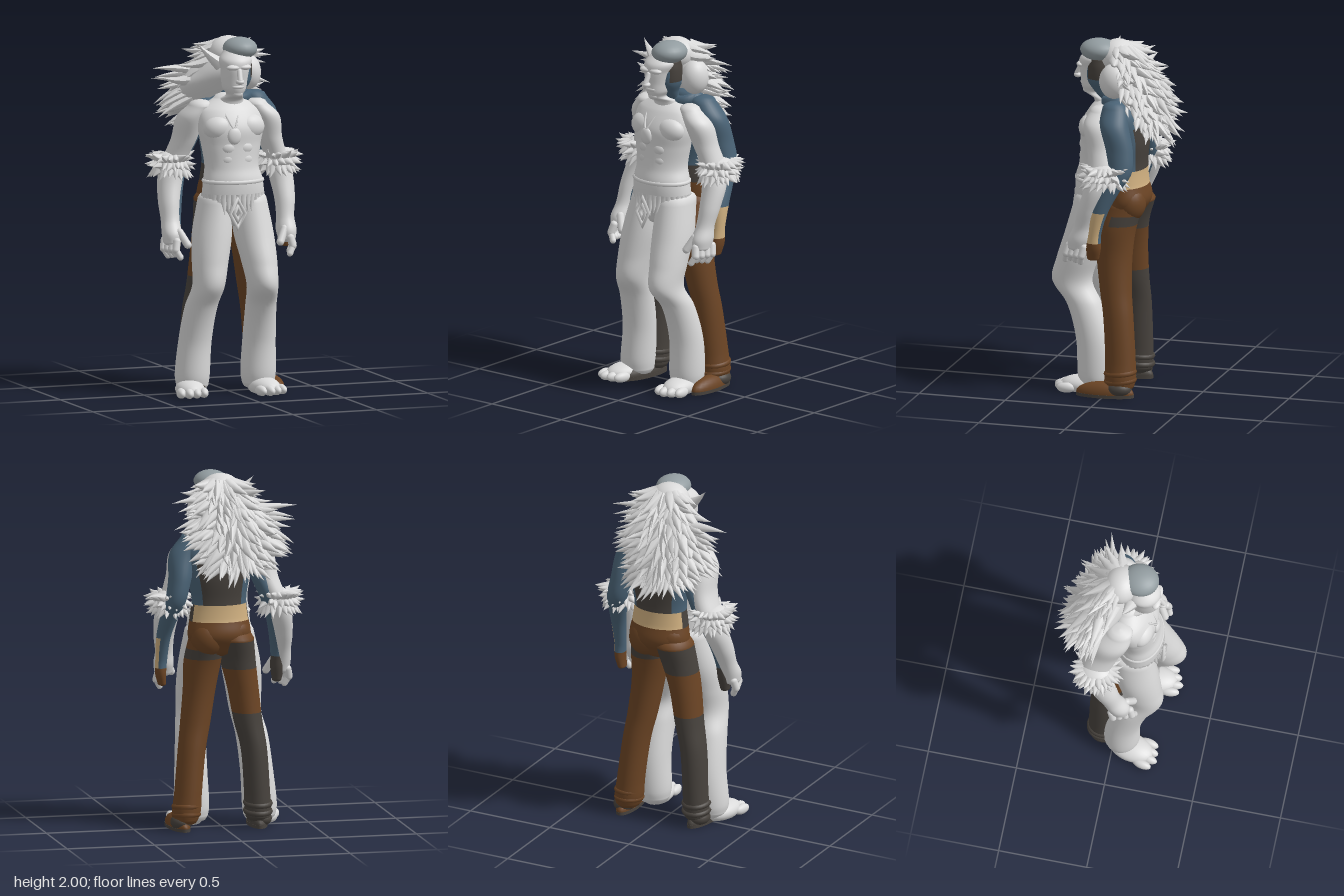
import * as THREE from 'three';
import { mergeGeometries } from 'three/addons/utils/BufferGeometryUtils.js';

const colours = { white: 0xdadada, cap: 0x929ca0, blue: 0x4a6376, brown: 0x6b4424, dark: 0x47423d, tan: 0xd0b080 };
const V = (x, y, z) => new THREE.Vector3(x, y, z);

export function createModel() {
  const model = new THREE.Group();
  const mats = {};
  for (const k in colours) { mats[k] = new THREE.MeshStandardMaterial({ color: colours[k] }); mats[k].name = k; }

  let seed = 7;
  const rnd = () => (seed = (seed * 16807) % 2147483647) / 2147483647;
  const vary = (a) => (rnd() - 0.5) * 2 * a;

  const add = (name, geo, mat) => {
    const m = new THREE.Mesh(geo, mat);
    m.name = name;
    model.add(m);
    return m;
  };

  // Smooth interpolation of sections [x, y, z, rx, rz]
  const sampler = (secs) => {
    const c = new THREE.CatmullRomCurve3(secs.map((s) => V(s[0], s[1], s[2])));
    const r = new THREE.CatmullRomCurve3(secs.map((s) => V(s[3], s[4], s[1])));
    return (t) => { const p = c.getPoint(t), q = r.getPoint(t); return [p.x, p.y, p.z, q.x, q.y]; };
  };

  // Rounded body through horizontal ellipses, top to bottom; pick(y, sin, cos) names the colour
  const loft = (name, secs, pick, n = 28) => {
    const at = sampler(secs), steps = secs.length * 8, rings = [];
    for (let i = 0; i <= steps; i++) rings.push(at(i / steps));
    const cap = (s, d) => [0.5, 0.85, 1].map((f) => {
      const k = Math.max(0.001, Math.sqrt(1 - f * f));
      return [s[0], s[1] + d * f * 0.45 * Math.min(s[3], s[4]), s[2], s[3] * k, s[4] * k];
    });
    const all = [...cap(rings[0], 1).reverse(), ...rings, ...cap(rings[steps], -1)];
    const pos = [], faces = {};
    all.forEach(([x, y, z, rx, rz], i) => {
      for (let j = 0; j < n; j++) {
        const a = (j / n) * Math.PI * 2;
        pos.push(x + rx * Math.cos(a), y, z + rz * Math.sin(a));
        if (i === all.length - 1) continue;
        const b = ((j + 0.5) / n) * Math.PI * 2, k = (j + 1) % n;
        const col = typeof pick === 'string' ? pick : pick((y + all[i + 1][1]) / 2, Math.sin(b), Math.cos(b));
        const A = i * n + j, B = i * n + k;
        (faces[col] ||= []).push(A, B, A + n, B, B + n, A + n);
      }
    });
    const g = new THREE.BufferGeometry();
    g.setAttribute('position', new THREE.Float32BufferAttribute(pos, 3));
    const index = [], list = [];
    for (const c in faces) {
      g.addGroup(index.length, faces[c].length, list.length);
      list.push(mats[c]);
      for (const f of faces[c]) index.push(f);
    }
    g.setIndex(index);
    g.computeVertexNormals();
    return add(name, g, list);
  };

  const ball = (x, y, z, rx, ry, rz) => new THREE.SphereGeometry(1, 24, 16).scale(rx, ry, rz).translate(x, y, z);
  const aim = (g, p, dir) => g.applyQuaternion(new THREE.Quaternion().setFromUnitVectors(V(0, 1, 0), dir.clone().normalize())).translate(p.x, p.y, p.z);
  // Rounded finger between two points
  const finger = (a, b, r) => { const d = b.clone().sub(a); return aim(new THREE.CapsuleGeometry(r, d.length(), 5, 10).translate(0, d.length() / 2, 0), a, d); };
  // Tapered, slightly curved lock of hair
  const lock = (p, dir, len, r, bend = 0) => {
    const g = new THREE.ConeGeometry(r, len, 7, 4, true).translate(0, len / 2, 0), q = g.attributes.position;
    for (let i = 0; i < q.count; i++) q.setX(i, q.getX(i) + bend * (q.getY(i) / len) ** 2);
    g.computeVertexNormals();
    return aim(g, p, dir);
  };

  // ---- Wild figure in front ----
  loft('wildTorso', [[-.02, 1.66, .04, .075, .06], [-.02, 1.6, .06, .17, .095], [-.015, 1.5, .08, .19, .125], [-.015, 1.4, .085, .172, .122],
    [-.015, 1.28, .095, .155, .122], [-.01, 1.2, .105, .172, .13], [-.01, 1.06, .1, .172, .125], [-.01, .98, .1, .09, .09]], 'white', 36);
  add('chest', mergeGeometries([ball(-.1, 1.5, .13, .095, .075, .068), ball(.07, 1.5, .13, .095, .075, .068)]), mats.white);
  const abs = [];
  for (const s of [-1, 1]) for (let i = 0; i < 3; i++) abs.push(ball(-.015 + s * .042, 1.39 - i * .065, .17, .055, .045, .038));
  add('abdomen', mergeGeometries(abs), mats.white);
  const belt = new THREE.TorusGeometry(1, .06, 8, 40).rotateX(Math.PI / 2).scale(.17, .2, .127).translate(-.01, 1.2, .105);
  add('waistRope', belt, mats.white);
  loft('wildLeftLeg', [[.085, 1.1, .09, .1, .125], [.1, .9, .14, .11, .13], [.112, .75, .195, .098, .12], [.12, .62, .225, .084, .115],
    [.14, .5, .15, .085, .1], [.152, .3, .09, .092, .1], [.15, .1, .08, .098, .1], [.15, .05, .08, .09, .09]], 'white');
  loft('wildRightLeg', [[-.11, 1.1, .08, .09, .12], [-.138, .9, .11, .11, .125], [-.16, .75, .14, .1, .115], [-.175, .62, .155, .088, .11],
    [-.197, .5, .1, .09, .1], [-.215, .3, .05, .092, .1], [-.23, .1, .045, .097, .1], [-.23, .05, .045, .09, .09]], 'white');

  // Bare feet with toes
  const foot = (name, x, z, turn) => {
    const parts = [ball(0, .035, .05, .082, .055, .13)];
    for (let i = 0; i < 4; i++) parts.push(ball(-.064 + i * .043, .026, .165 - Math.abs(i - 1.2) * .018, .026, .029, .055));
    const g = mergeGeometries(parts), p = g.attributes.position;
    for (let i = 0; i < p.count; i++) p.setY(i, Math.max(0, p.getY(i)));
    add(name, g.rotateY(turn).translate(x, 0, z), mats.white);
  };
  foot('wildLeftFoot', .155, .1, .08);
  foot('wildRightFoot', -.255, .055, -.22);

  // Ragged loincloth and diamond clasp
  const rags = [];
  for (let i = 0; i < 22; i++) {
    const a = -.25 + (i / 21) * (Math.PI + .5);
    rags.push(lock(V(-.01 + .158 * Math.cos(a), 1.13, .1 + .117 * Math.sin(a)), V(Math.cos(a) * .15, -1, Math.sin(a) * .2), .07 + rnd() * .05, .026, vary(.015)));
  }
  add('loincloth', mergeGeometries(rags), mats.white);
  for (const s of [1, .45])
    add('clasp', new THREE.TorusGeometry(.05 * s, .011, 6, 4).scale(.9, 1.6, 1).translate(-.035, 1.03, .245), mats.white);

  // Pendant on a cord
  add('pendant', ball(-.04, 1.46, .205, .04, .048, .02), mats.white);
  const cord = new THREE.CatmullRomCurve3([V(-.08, 1.64, .09), V(-.07, 1.56, .175), V(-.04, 1.5, .21), V(-.01, 1.56, .175), V(.04, 1.64, .09)]);
  add('cord', new THREE.TubeGeometry(cord, 24, .006, 6), mats.white);

  // Arms
  loft('wildLeftArm', [[.15, 1.62, .05, .06, .06], [.205, 1.55, .045, .078, .085], [.24, 1.42, .025, .07, .075], [.285, 1.3, .01, .062, .075],
    [.305, 1.2, .03, .068, .07], [.31, 1.08, .075, .058, .06], [.302, .98, .105, .05, .055], [.3, .91, .125, .056, .07], [.3, .86, .135, .048, .06]], 'white');
  loft('wildRightArm', [[-.17, 1.62, .02, .065, .075], [-.215, 1.55, -.015, .075, .1], [-.24, 1.42, -.06, .068, .095], [-.285, 1.3, -.09, .066, .085],
    [-.315, 1.2, -.075, .07, .08], [-.34, 1.08, -.03, .06, .07], [-.348, .98, .01, .052, .058], [-.352, .91, .045, .055, .065], [-.354, .86, .055, .048, .058]], 'white');
  const fingers = (name, s, x, z) => {
    const parts = [];
    for (let i = 0; i < 4; i++) {
      const a = V(x + s * (.032 - i * .012), .87, z - .045 + i * .033), b = V(a.x + s * .01, .825, a.z + .012);
      parts.push(finger(a, b, .022), finger(b, V(b.x - s * .022, .785 + (i % 3) * .006, b.z + .012), .018));
    }
    parts.push(finger(V(x - s * .03, .92, z + .03), V(x - s * .066, .85, z + .06), .022));
    add(name, mergeGeometries(parts), mats.white);
  };
  fingers('wildLeftFingers', 1, .305, .135);
  fingers('wildRightFingers', -1, -.352, .06);

  // Fur cuffs at the elbows, fuller on the outside
  const cuff = (name, s, x, z) => {
    const parts = [ball(x, 1.28, z, .095, .07, .105)];
    for (let row = 0; row < 3; row++) for (let i = 0; i < 20; i++) {
      const a = ((i + row / 2 + vary(.3)) / 20) * Math.PI * 2, c = Math.cos(a), d = Math.sin(a);
      parts.push(lock(V(x + c * .07, 1.255 + row * .03, z + d * .08), V(c + s * .2, -.85 + row * .55 + vary(.25), d), .06 + rnd() * .025, .028, vary(.02)));
    }
    add(name, mergeGeometries(parts), mats.white);
  };
  cuff('leftFurCuff', 1, .3, -.015);
  cuff('rightFurCuff', -1, -.31, -.085);

  // Face
  loft('wildHead', [[0, 1.93, .1, .06, .06], [-.002, 1.88, .12, .092, .094], [-.008, 1.83, .13, .08, .09], [-.012, 1.77, .13, .072, .084],
    [-.012, 1.72, .13, .064, .08], [-.012, 1.685, .135, .045, .06], [-.01, 1.65, .07, .072, .066], [-.015, 1.59, .05, .09, .08]], 'white');
  add('brow', mergeGeometries([ball(-.045, 1.845, .202, .04, .016, .026), ball(.022, 1.845, .202, .04, .016, .026)]), mats.white);
  add('nose', mergeGeometries([finger(V(-.014, 1.825, .216), V(-.018, 1.775, .24), .015), ball(-.018, 1.768, .234, .024, .016, .024)]), mats.white);
  add('mouth', mergeGeometries([ball(-.014, 1.735, .192, .038, .016, .024), ball(-.012, 1.695, .178, .032, .024, .025)]), mats.white);
  add('rightEar', lock(V(-.07, 1.85, .07), V(-1, .65, -.2), .17, .042, .03), mats.white);

  // Swept mane over the back of the skull
  add('skull', ball(.005, 1.903, -.005, .115, .094, .1), mats.white);
  add('leftTemple', ball(.125, 1.785, -.02, .075, .1, .085), mats.white);
  const mane = [[.015, 1.94, -.02, .075, .06], [.005, 1.88, -.03, .12, .1], [-.02, 1.8, -.06, .165, .125], [-.045, 1.72, -.1, .205, .12],
    [-.05, 1.64, -.135, .2, .1], [-.04, 1.57, -.165, .15, .08], [-.03, 1.53, -.18, .1, .06]];
  loft('maneBody', mane, 'white');
  const at = sampler(mane), locks = [];
  for (let row = 0; row < 10; row++) for (let k = 0; k < 15; k++) {
    const t = row / 9, a = Math.PI * (0.95 + 1.1 * (k + (row % 2) / 2) / 15) + vary(.06);
    const [x, y, z, rx, rz] = at(t), c = Math.cos(a), s = Math.sin(a);
    const side = Math.abs(c), drop = -.15 - t * .3 - (1 - side) * .4 + vary(.2);
    locks.push(lock(V(x + c * rx * .82, y, z + s * rz * .8), V(c * (.5 + .5 * side), drop, s * .55 - .25), .11 + rnd() * .075, .032 + rnd() * .012, vary(.045)));
  }
  // Long stray locks to the sides
  for (let i = 0; i < 8; i++) {
    locks.push(lock(V(-.17, 1.8 - i * .024, -.09), V(-1, .2 - i * .1, -.25 + vary(.2)), .21 + rnd() * .03, .036, vary(.05)));
    locks.push(lock(V(.1, 1.86 - i * .026, -.06), V(1, .15 - i * .08, -.55 + vary(.3)), .17 + rnd() * .05, .032, vary(.05)));
  }
  add('maneLocks', mergeGeometries(locks), mats.white);

  // ---- Clothed figure behind ----
  loft('clothedTorso', [[.05, 1.68, -.04, .1, .07], [.045, 1.6, -.06, .2, .1], [.035, 1.45, -.07, .18, .12], [.03, 1.3, -.07, .155, .11],
    [.03, 1.2, -.07, .165, .115], [.03, 1.1, -.08, .178, .122], [.03, 1.02, -.06, .15, .1]],
    (y, s, c) => y < 1.185 ? 'brown' : y < 1.275 ? (s < -.25 ? 'tan' : 'dark') : s < -.3 && Math.abs(c + .05) < .7 && y < 1.52 ? 'dark' : 'blue', 40);
  add('seat', mergeGeometries([ball(.1, 1.09, -.105, .1, .11, .09), ball(-.04, 1.12, -.095, .1, .09, .09)]), mats.brown);
  loft('clothedLeftLeg', [[.1, 1.08, -.07, .1, .115], [.115, .95, -.035, .105, .11], [.13, .8, -.025, .092, .102], [.158, .6, -.04, .084, .09],
    [.183, .45, -.062, .078, .085], [.21, .2, -.083, .077, .086], [.22, .1, -.085, .08, .088], [.225, .06, -.085, .07, .08]],
    (y, s) => y < 1.02 && y > .965 && s < .3 ? 'dark' : 'brown');
  loft('clothedRightLeg', [[-.055, 1.08, -.075, .11, .128], [-.082, .95, -.05, .1, .11], [-.112, .8, -.042, .088, .1], [-.142, .6, -.05, .08, .09],
    [-.172, .45, -.06, .073, .085], [-.19, .2, -.065, .072, .084], [-.195, .1, -.065, .074, .084], [-.197, .06, -.065, .07, .08]],
    (y) => y < .66 || (y > .91 && y < 1.07) ? 'dark' : 'brown');
  for (const [x, z, s] of [[.22, -.085, 1], [-.195, -.065, -1]])
    for (const y of [.09, .135])
      add('trouserFold', new THREE.TorusGeometry(.066, .017, 8, 28).rotateX(Math.PI / 2 + .12 * s).scale(1, 1, 1.14).translate(x, y, z), s > 0 ? mats.brown : mats.dark);

  // Shoes with flat soles
  const shoe = (name, x, z, mat, turn) => {
    const g = ball(0, .02, 0, .056, .065, .165), p = g.attributes.position;
    for (let i = 0; i < p.count; i++) p.setY(i, Math.max(.012, p.getY(i)));
    add(name, g.rotateY(turn).translate(x, 0, z), mat);
    add(name + 'Sole', new THREE.CylinderGeometry(1, 1, .018, 28).scale(.057, 1, .166).rotateY(turn).translate(x, .009, z), mats.dark);
    add(name + 'Heel', ball(x - .003, .048, z - .08, .062, .046, .073), mats.dark);
  };
  shoe('leftShoe', .25, -.005, mats.brown, .06);
  shoe('rightShoe', -.208, .015, mats.dark, -.1);

  // Sleeves, gloves and hands
  loft('clothedLeftArm', [[.17, 1.65, -.04, .07, .07], [.228, 1.56, -.05, .078, .082], [.258, 1.42, -.09, .064, .078], [.285, 1.3, -.1, .058, .068],
    [.31, 1.2, -.05, .05, .058], [.33, 1.08, .0, .04, .046], [.336, .95, .028, .033, .036], [.338, .87, .035, .03, .042], [.33, .81, .04, .022, .034]],
    (y, s, c) => y < .9 ? 'brown' : y < 1.08 && c > -.2 && s > -.75 ? 'tan' : 'blue');
  loft('clothedRightArm', [[-.1, 1.62, -.05, .07, .07], [-.16, 1.54, -.055, .06, .07], [-.2, 1.42, -.09, .055, .065], [-.25, 1.3, -.1, .05, .058],
    [-.28, 1.2, -.075, .045, .053], [-.306, 1.08, -.03, .04, .046], [-.32, .96, .005, .036, .038], [-.325, .88, .02, .038, .04], [-.325, .81, .03, .026, .032]],
    (y) => y > .95 ? 'blue' : 'dark');

  // Masked head, collar and cap
  loft('clothedHead', [[.036, 1.89, .09, .06, .066], [.04, 1.84, .09, .064, .07], [.038, 1.76, .09, .06, .068], [.03, 1.71, .08, .046, .05], [.02, 1.66, .05, .04, .04]],
    (y, s) => y > 1.84 || (y > 1.775 && s < .8) ? 'dark' : 'blue');
  add('collar', new THREE.TorusGeometry(.07, .022, 8, 28).rotateX(Math.PI / 2).scale(1, 1.5, 1).rotateX(.25).translate(.05, 1.665, -.015), mats.blue);
  add('cap', ball(.036, 1.938, .095, .096, .062, .107), mats.cap);
  return model;
}
